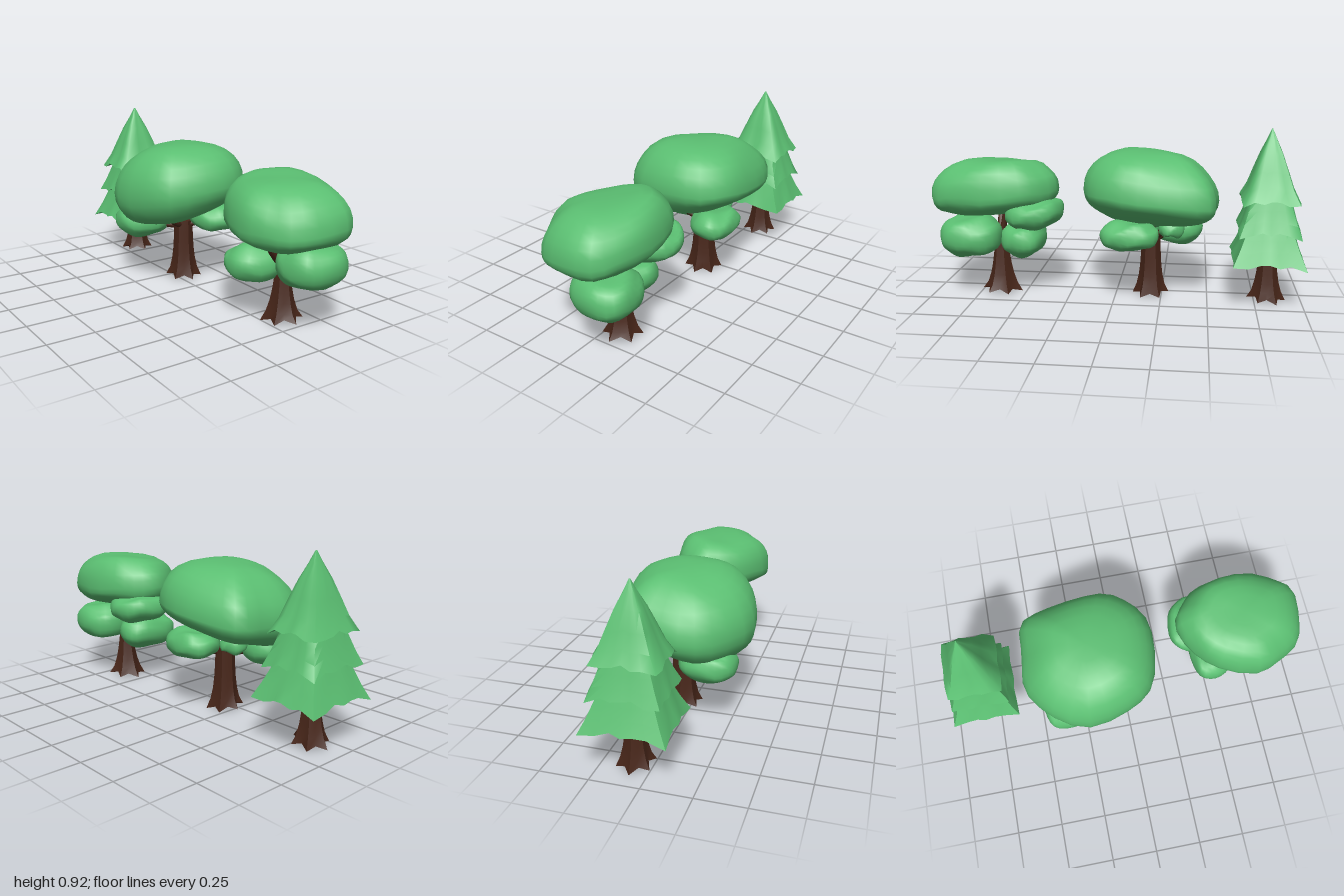
import * as THREE from 'three';
import { mergeVertices, toCreasedNormals } from 'three/addons/utils/BufferGeometryUtils.js';

const leafMat = new THREE.MeshStandardMaterial({ color: 0x5bbf72 });
const barkMat = new THREE.MeshStandardMaterial({ color: 0x482619 });

function mesh(name, geo, mat) {
  const m = new THREE.Mesh(geo, mat);
  m.name = name;
  return m;
}

// Move every vertex of a geometry by a rule, then rebuild its normals
function reshape(geo, rule, crease) {
  const p = geo.attributes.position;
  const v = new THREE.Vector3();
  for (let i = 0; i < p.count; i++) {
    v.fromBufferAttribute(p, i);
    rule(v);
    p.setXYZ(i, v.x, v.y, v.z);
  }
  geo.deleteAttribute('uv');
  geo.deleteAttribute('normal');
  const g = mergeVertices(geo, 1e-4);
  g.computeVertexNormals();
  return crease ? toCreasedNormals(g, crease) : g;
}

const power = (a, e) => Math.sign(a) * Math.pow(Math.abs(a), e);

// Foliage mass: a closed plan outline [x, z] (from -x by way of +z), domed up to top and down to bottom;
// sag deepens the underside towards -x
function foliage(name, plan, { centre, bottom, middle, top, tiltX = 0, tiltZ = 0, sag = 0, square = 0.75, bump = 0.012, seed = 0 }) {
  const curve = new THREE.CatmullRomCurve3(plan.map(([x, z]) => new THREE.Vector3(x, 0, z)), true);
  const q = new THREE.Vector3();
  const geo = reshape(new THREE.SphereGeometry(1, 26, 16), (v) => {
    const u = (Math.atan2(v.z, -v.x) / (2 * Math.PI) + 1) % 1;
    const h = Math.pow(Math.min(1, Math.hypot(v.x, v.z)), square);
    const rise = power(v.y, square + 0.15);
    curve.getPoint(u, q);
    const wob = Math.sin(5 * v.x + seed) * Math.cos(4 * v.z + 2 * seed) + 0.6 * Math.sin(7 * v.z - 3 * v.x + 4 * v.y + seed);
    const k = h * (1 + bump * 1.2 * (wob - 1));
    const dx = (q.x - centre[0]) * k, dz = (q.z - centre[1]) * k;
    const depth = rise > 0 ? top - middle : (middle - bottom) * (1 - sag * dx);
    v.set(centre[0] + dx, middle + rise * depth + bump * wob * 0.7 + tiltX * dx + tiltZ * dz, centre[1] + dz);
  });
  return mesh(name, geo, leafMat);
}

// Small oval foliage clump with a slightly squared outline
function clump(name, [x, y, z], [rx, ry, rz], seed, tiltZ = 0) {
  const plan = [];
  for (let i = 0; i < 10; i++) {
    const a = (i / 10) * 2 * Math.PI;
    const r = 1 + 0.04 * Math.sin(3 * a + seed);
    plan.push([x - rx * r * power(Math.cos(a), 0.85), z + rz * r * power(Math.sin(a), 0.85)]);
  }
  return foliage(name, plan, { centre: [x, z], bottom: y - ry, middle: y, top: y + ry, seed, tiltZ });
}

// Tapering trunk that flares into pointed roots
function trunk(x, z, height, rTop, rBase, seed) {
  const geo = reshape(new THREE.CylinderGeometry(1, 1, 1, 12, 6), (v) => {
    const t = v.y + 0.5;
    const a = Math.atan2(v.x, v.z);
    const flare = Math.pow(1 - t, 4);
    const rim = Math.hypot(v.x, v.z) > 0.01 ? 1 : 0;
    const star = Math.cos(6 * a) * (0.05 + 0.15 * flare) + 0.05 * Math.sin(2 * a + seed);
    const r = rim * (rTop + (rBase * 0.64 - rTop) * (1 - t) + rBase * 0.26 * flare) * (1 + star);
    const lift = t === 0 ? 0.015 - rim * 0.008 * Math.cos(6 * a) + rim * 0.007 * Math.sin(a + seed) : 0;
    v.set(x + r * Math.sin(a), t * height + lift, z + r * Math.cos(a));
  }, 0.6);
  return mesh('trunk', geo, barkMat);
}

// Bent, tapering branch
function branch(from, to, r) {
  const a = new THREE.Vector3(...from), b = new THREE.Vector3(...to);
  const mid = a.clone().lerp(b, 0.5);
  mid.y -= 0.012;
  const curve = new THREE.CatmullRomCurve3([a, mid, b]);
  const geo = new THREE.TubeGeometry(curve, 6, r, 7);
  const p = geo.attributes.position;
  const v = new THREE.Vector3();
  for (let i = 0; i < p.count; i++) {
    const t = Math.floor(i / 8) / 6;
    v.fromBufferAttribute(p, i).lerp(curve.getPointAt(t), 0.45 * t);
    p.setXYZ(i, v.x, v.y, v.z);
  }
  return mesh('branch', geo, barkMat);
}

// Square skirt of needles; profile is [height, half width] from hem to top
function tier(name, x, z, profile, seed) {
  const n = profile.length - 1;
  const geo = reshape(new THREE.CylinderGeometry(1, 1, 1, 24, n), (v) => {
    const row = Math.round((v.y + 0.5) * n);
    const a = Math.atan2(v.x, v.z);
    const c = Math.cos(a), s = Math.sin(a);
    const rim = Math.hypot(v.x, v.z) > 0.01;
    const fade = 1 - row / n;
    const sq = Math.min(1 / Math.max(Math.abs(c), Math.abs(s)), 1.3 + 0.1 * fade);
    const [y, w] = profile[row];
    const r = rim ? w * sq * (1 + 0.03 * fade * Math.sin(8 * a + seed)) : 0;
    let drop = 0;
    if (rim) drop = fade * (0.012 - 0.025 * (sq - 1) / 0.41 + 0.01 * Math.sin(9 * a + seed));
    else if (row === 0) drop = 0.05;
    v.set(x + r * s * 1.11, y + drop, z + r * c * 0.98);
  }, 1.05);
  return mesh(name, geo, leafMat);
}

function layeredTree() {
  const g = new THREE.Group();
  g.name = 'layeredTree';
  g.add(trunk(0.09, 0.635, 0.32, 0.03, 0.1, 1));
  const fork = [0.09, 0.28, 0.64];
  for (const end of [[0.13, 0.37, 0.76], [0.02, 0.34, 0.54], [0.09, 0.5, 0.6], [0.13, 0.45, 0.47], [-0.09, 0.49, 0.68]])
    g.add(branch(fork, end, 0.022));
  g.add(foliage('crown', [
    [-0.24, 0.7], [-0.19, 0.84], [-0.12, 0.95], [0.02, 0.995], [0.19, 0.99], [0.27, 0.89],
    [0.32, 0.68], [0.28, 0.46], [0.2, 0.36], [0.1, 0.31], [-0.05, 0.36], [-0.165, 0.48]
  ], { centre: [0.05, 0.66], bottom: 0.44, middle: 0.555, top: 0.745, tiltX: 0.07, tiltZ: -0.06, square: 0.7, bump: 0.012, seed: 2 }));
  g.add(clump('frontClump', [0.13, 0.33, 0.785], [0.17, 0.11, 0.165], 1));
  g.add(clump('rearClump', [0.025, 0.295, 0.52], [0.175, 0.095, 0.125], 3));
  g.add(clump('upperClump', [0.13, 0.465, 0.44], [0.165, 0.08, 0.16], 5, -0.1));
  return g;
}

function roundTree() {
  const g = new THREE.Group();
  g.name = 'roundTree';
  g.add(trunk(0.045, -0.19, 0.34, 0.05, 0.095, 4));
  const fork = [0.045, 0.31, -0.19];
  for (const end of [[0.2, 0.38, -0.1], [-0.14, 0.35, -0.32], [0.05, 0.46, -0.2], [-0.1, 0.39, -0.13], [0.1, 0.43, -0.3]])
    g.add(branch(fork, end, 0.024));
  g.add(foliage('crown', [
    [-0.355, -0.24], [-0.305, -0.01], [-0.21, 0.125], [0.02, 0.175], [0.2, 0.145], [0.31, 0.03], [0.35, -0.14],
    [0.33, -0.38], [0.27, -0.52], [0.1, -0.54], [-0.1, -0.55], [-0.25, -0.44]
  ], { centre: [0, -0.185], bottom: 0.37, middle: 0.545, top: 0.8, tiltX: 0.05, tiltZ: 0.09, sag: 1.1, square: 0.82, bump: 0.008, seed: 1 }));
  g.add(clump('leftClump', [0.18, 0.365, -0.085], [0.125, 0.075, 0.155], 2));
  g.add(clump('rearClump', [-0.14, 0.34, -0.335], [0.155, 0.085, 0.14], 4));
  g.add(clump('smallClump', [0.09, 0.385, -0.3], [0.07, 0.045, 0.07], 6));
  return g;
}

function coniferTree() {
  const g = new THREE.Group();
  g.name = 'coniferTree';
  const x = 0.085, z = -0.81;
  g.add(trunk(x, z - 0.005, 0.32, 0.038, 0.092, 2));
  g.add(tier('lowerTier', x, z, [[0.24, 0.188], [0.31, 0.16], [0.37, 0.14], [0.43, 0.12]], 1));
  g.add(tier('middleTier', x, z, [[0.4, 0.162], [0.46, 0.14], [0.52, 0.122], [0.58, 0.105]], 3));
  g.add(tier('upperTier', x, z, [[0.56, 0.15], [0.63, 0.115], [0.71, 0.088], [0.8, 0.056], [0.87, 0.025], [0.925, 0.003]], 5));
  return g;
}

export function createModel() {
  const model = new THREE.Group();
  model.name = 'threeTrees';
  model.add(layeredTree(), roundTree(), coniferTree());
  return model;
}
